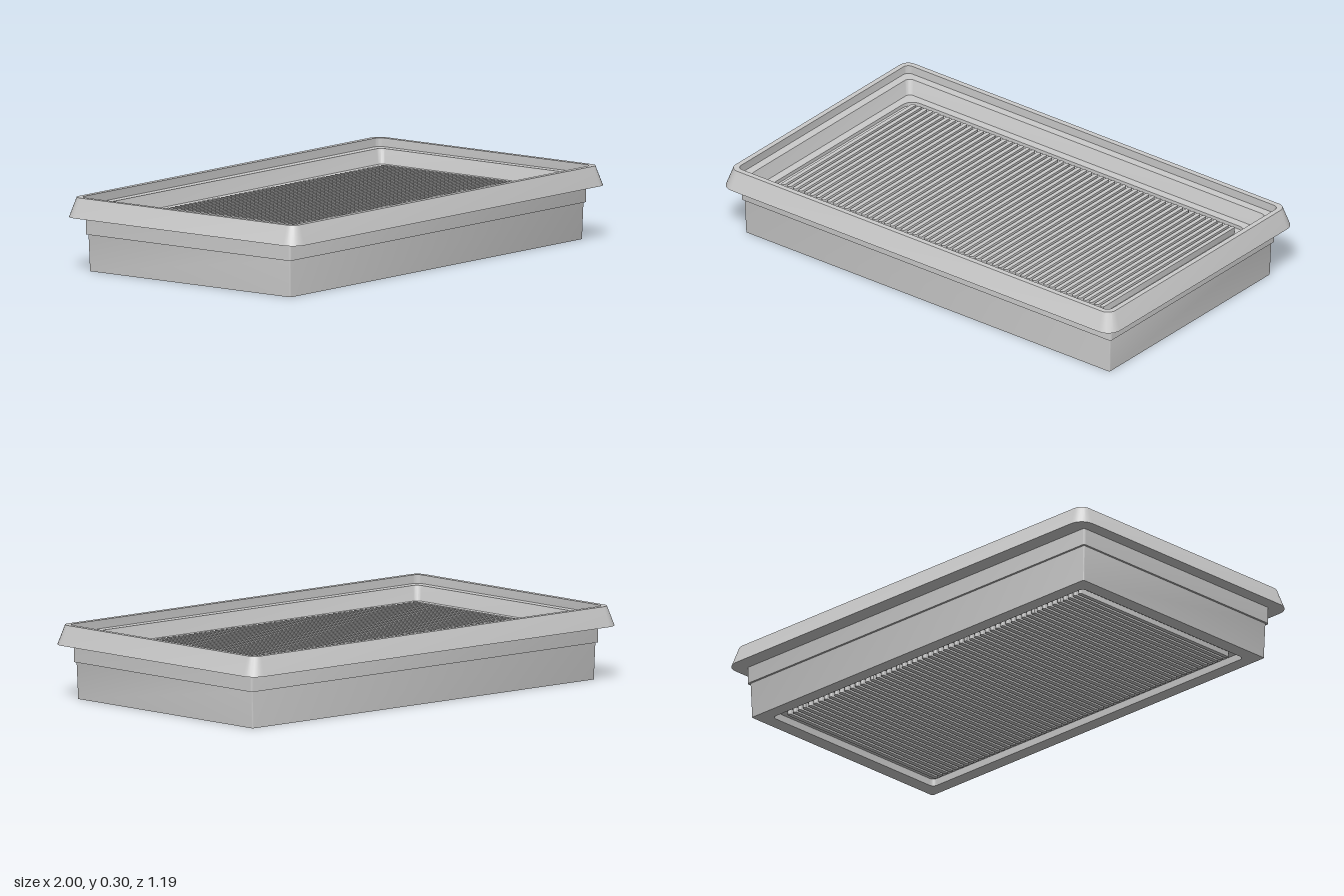
import * as THREE from 'three';
import { toCreasedNormals } from 'three/addons/utils/BufferGeometryUtils.js';

const CORNER_STEPS = 6;

// Rounded rectangle in the ground plane, counter-clockwise from above.
function ring([hx, hz, y, r]) {
  const pts = [];
  const corners = [[1, 1], [-1, 1], [-1, -1], [1, -1]];
  corners.forEach(([sx, sz], q) => {
    for (let i = 0; i <= CORNER_STEPS; i++) {
      const a = (q + i / CORNER_STEPS) * Math.PI / 2;
      pts.push(sx * (hx - r) + r * Math.cos(a), y, -(sz * (hz - r) + r * Math.sin(a)));
    }
  });
  return pts;
}

// Skin a list of [halfWidth, halfDepth, y, cornerRadius] sections.
function loft(sections) {
  const n = 4 * (CORNER_STEPS + 1);
  const index = [];
  for (let i = 0; i < sections.length - 1; i++) {
    for (let j = 0; j < n; j++) {
      const a = i * n + j, b = i * n + (j + 1) % n;
      index.push(a, b, b + n, a, b + n, a + n);
    }
  }
  const geo = new THREE.BufferGeometry();
  geo.setAttribute('position', new THREE.Float32BufferAttribute(sections.flatMap(ring), 3));
  geo.setIndex(index);
  return toCreasedNormals(geo, 0.45);
}

// Upright slab with rounded ends, running along z.
function pleatGeometry(width, length, bottom, top) {
  const r = width / 2, h = length / 2 - r;
  const s = new THREE.Shape();
  s.absarc(0, h, r, 0, Math.PI);
  s.absarc(0, -h, r, Math.PI, Math.PI * 2);
  s.closePath();
  const geo = new THREE.ExtrudeGeometry(s, { depth: top - bottom, bevelEnabled: false, curveSegments: 5 });
  geo.rotateX(-Math.PI / 2).translate(0, bottom, 0);
  return toCreasedNormals(geo, 0.7);
}

export function createModel() {
  const group = new THREE.Group();
  const material = new THREE.MeshStandardMaterial({ color: 0xcccccc });
  const add = (name, geo, parent = group) => {
    const mesh = new THREE.Mesh(geo, material);
    mesh.name = name;
    parent.add(mesh);
    return mesh;
  };

  // Frame: tapered box, stepped collar, flared sealing lip and stepped recess
  add('frame', loft([
    [0.87, 0.46, 0.03, 0.02],
    [0.87, 0.46, 0, 0.02],
    [0.93, 0.517, 0, 0.006],
    [0.936, 0.52, 0.15, 0.006],
    [0.945, 0.529, 0.15, 0.01],
    [0.945, 0.529, 0.22, 0.01],
    [1, 0.597, 0.22, 0.06],
    [0.972, 0.57, 0.3, 0.04],
    [0.95, 0.547, 0.3, 0.025],
    [0.95, 0.547, 0.265, 0.025],
    [0.915, 0.512, 0.265, 0.025],
    [0.9, 0.495, 0.205, 0.02],
    [0.865, 0.46, 0.205, 0.05],
    [0.865, 0.46, 0.19, 0.05],
  ]));

  // Panel that carries the pleats and closes the frame
  add('filterPanel', loft([
    [0, 0, 0.03, 0],
    [0.87, 0.46, 0.03, 0.02],
    [0.87, 0.46, 0.19, 0.05],
    [0, 0, 0.19, 0],
  ]));

  // Row of pleats, standing proud above and below the panel
  const pleats = new THREE.Group();
  pleats.name = 'pleats';
  group.add(pleats);
  const count = 57, span = 1.63;
  const geo = pleatGeometry(0.018, 0.85, 0.008, 0.218);
  for (let i = 0; i < count; i++) {
    add('pleat', geo, pleats).position.x = (i / (count - 1) - 0.5) * span;
  }
  return group;
}
